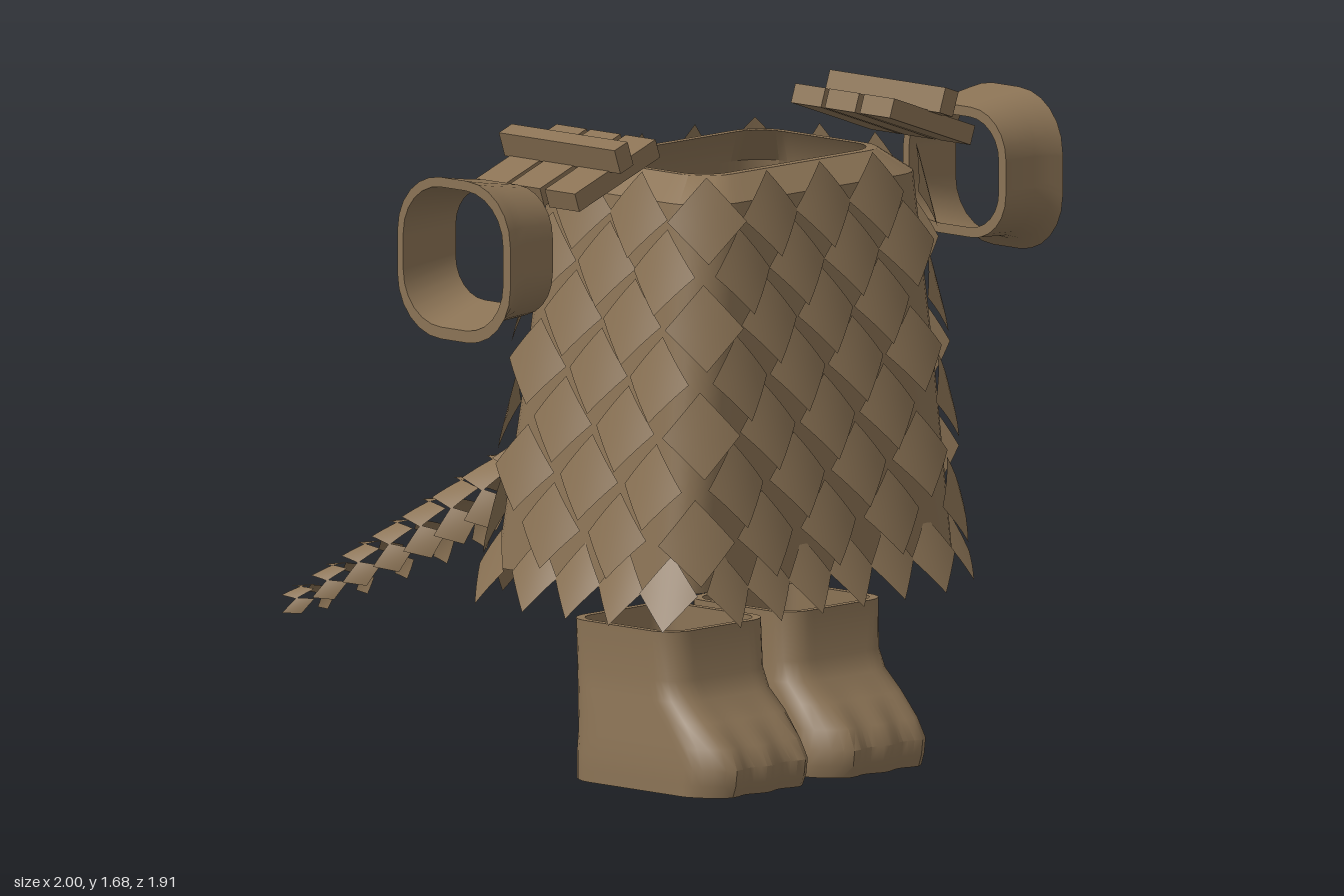
import * as THREE from 'three';
import { mergeGeometries, toCreasedNormals } from 'three/addons/utils/BufferGeometryUtils.js';

const hide = new THREE.MeshStandardMaterial({ color: 0x8b7355, side: THREE.DoubleSide });
hide.name = 'brown hide';

function mesh(name, geometry) {
  const m = new THREE.Mesh(geometry, hide);
  m.name = name;
  return m;
}

// Rounded rectangle outline in the xz plane, starting on the front edge and going towards +x
function outline([y, x0, x1, z0, z1, r]) {
  const corners = [[x1 - r, z1 - r], [x1 - r, z0 + r], [x0 + r, z0 + r], [x0 + r, z1 - r]];
  const at = (k, a) => {
    const [cx, cz] = corners[k % 4];
    return new THREE.Vector3(cx + r * Math.sin(a), y, cz + r * Math.cos(a));
  };
  const points = [];
  for (let k = 0; k < 4; k++) {
    for (let m = 0; m <= 6; m++) points.push(at(k, (k + m / 6) * Math.PI / 2));
    const end = at(k, (k + 1) * Math.PI / 2), next = at(k + 1, (k + 1) * Math.PI / 2);
    for (let m = 1; m < 12; m++) points.push(end.clone().lerp(next, m / 12));
  }
  return points;
}

// Walled tube: sections run up the outside and down the inside, then close
function shell(sections, rule = () => {}) {
  const rings = sections.map(outline);
  const n = rings[0].length, index = [];
  const points = rings.flat();
  points.forEach(rule);
  for (let i = 0; i < rings.length; i++) {
    const u = i * n, v = ((i + 1) % rings.length) * n;
    for (let j = 0; j < n; j++) {
      const k = (j + 1) % n;
      index.push(u + j, u + k, v + k, u + j, v + k, v + j);
    }
  }
  const geometry = new THREE.BufferGeometry().setFromPoints(points);
  geometry.setIndex(index);
  return toCreasedNormals(geometry, 0.6);
}

// Thin diamond scale, bent across its width
function scaleGeometry(width, height, bend) {
  const g = new THREE.PlaneGeometry(1, 1, 4, 4).rotateZ(Math.PI / 4);
  g.scale(width / Math.SQRT2, height / Math.SQRT2, 1);
  const p = g.attributes.position;
  for (let i = 0; i < p.count; i++) p.setZ(i, -bend * p.getX(i) ** 2);
  g.computeVertexNormals();
  return g;
}

// Places a scale at a point; tilt swings its lower end outward
function placeScale(geometry, position, across, along, outward, tilt) {
  const m = new THREE.Matrix4().makeBasis(across, along, outward).setPosition(position);
  m.multiply(new THREE.Matrix4().makeRotationX(-tilt));
  return geometry.clone().applyMatrix4(m);
}

const torsoOuter = [
  [0.53, -0.51, 0.51, 0.18, 0.87, 0.08],
  [1.0, -0.465, 0.465, 0.22, 0.865, 0.1],
  [1.5, -0.415, 0.415, 0.245, 0.85, 0.12],
];

function torsoSection(y) {
  const i = y < 1.0 ? 0 : 1;
  const a = torsoOuter[i], b = torsoOuter[i + 1];
  const t = (y - a[0]) / (b[0] - a[0]);
  return a.map((v, k) => THREE.MathUtils.lerp(v, b[k], t));
}

function torsoScaleRow(y, count, shift, width, height, tilt) {
  const section = torsoSection(y);
  const curve = new THREE.CatmullRomCurve3(outline(section), true);
  const start = (section[2] - section[5]) / curve.getLength();
  const up = new THREE.Vector3(0, 1, 0);
  const geometry = scaleGeometry(width, height, 1.5);
  const placed = [];
  for (let i = 0; i < count; i++) {
    const t = ((i + shift) / count - start + 1) % 1;
    const across = curve.getTangentAt(t).setY(0).normalize();
    const outward = across.clone().cross(up);
    const position = curve.getPointAt(t).addScaledVector(outward, 0.03);
    placed.push(placeScale(geometry, position, across, up, outward, tilt));
  }
  return mergeGeometries(placed);
}

function makeTorso() {
  const torso = new THREE.Group();
  torso.name = 'torso';
  torso.add(mesh('torsoShell', shell([
    ...torsoOuter,
    [1.56, -0.335, 0.335, 0.325, 0.785, 0.09],
    [1.56, -0.315, 0.315, 0.345, 0.76, 0.08],
    [1.47, -0.385, 0.385, 0.275, 0.82, 0.1],
    [0.53, -0.485, 0.485, 0.205, 0.845, 0.06],
  ])));
  for (let row = 0; row < 7; row++) {
    const y = 1.465 - row * 0.134;
    torso.add(mesh('torsoScales' + (row + 1), torsoScaleRow(y, 14, (row % 2) / 2, 0.2, 0.22, 0.25)));
  }
  torso.add(mesh('hemScales', torsoScaleRow(0.535, 22, 0.5, 0.155, 0.2, 0.38)));
  return torso;
}

// Arched bands of scales shrinking along the tail
function makeTail() {
  const tail = new THREE.Group();
  tail.name = 'tail';
  const along = new THREE.Vector3(0, 0.45, 0.89).normalize();
  const lift = new THREE.Vector3(0, 0.89, -0.45).normalize();
  for (let row = 0; row < 9; row++) {
    const t = row / 8;
    const radius = THREE.MathUtils.lerp(0.16, 0.05, t);
    const centre = new THREE.Vector3(0, 0.7 - 0.45 * t, 0.08 - 0.98 * t);
    const geometry = scaleGeometry(radius * 0.84, THREE.MathUtils.lerp(0.165, 0.1, t), 0.3 / radius);
    const placed = [];
    for (let i = -2; i <= 2; i++) {
      const a = i * Math.PI / 4;
      const outward = lift.clone().multiplyScalar(Math.cos(a));
      outward.x = Math.sin(a);
      const across = along.clone().cross(outward);
      const position = centre.clone().addScaledVector(outward, radius);
      placed.push(placeScale(geometry, position, across, along, outward, 0.3));
    }
    tail.add(mesh('tailScales' + (row + 1), mergeGeometries(placed)));
  }
  return tail;
}

// Open foot cover with a bulging toe end
function makeFoot() {
  const toes = (p) => {
    if (p.y < 0.15 && p.z > 0.78) p.z += 0.008 * Math.cos((p.x - 0.215) * 50) - 0.004;
  };
  return mesh('foot', shell([
    [0, 0.02, 0.41, 0.35, 0.875, 0.1],
    [0.03, 0.015, 0.41, 0.35, 0.885, 0.1],
    [0.07, 0.015, 0.41, 0.35, 0.89, 0.1],
    [0.12, 0.02, 0.405, 0.35, 0.865, 0.1],
    [0.18, 0.02, 0.4, 0.35, 0.805, 0.09],
    [0.23, 0.025, 0.395, 0.35, 0.75, 0.08],
    [0.28, 0.03, 0.39, 0.35, 0.727, 0.07],
    [0.405, 0.03, 0.395, 0.35, 0.72, 0.07],
    [0.405, 0.05, 0.375, 0.37, 0.7, 0.055],
    [0.25, 0.05, 0.375, 0.37, 0.71, 0.055],
    [0.1, 0.05, 0.38, 0.375, 0.85, 0.075],
    [0, 0.05, 0.38, 0.38, 0.845, 0.075],
  ], toes));
}

// Wrist cuff, lofted upright and laid along x
function makeCuff() {
  const geometry = shell([
    [0.82, -1.58, -1.25, 0.36, 0.715, 0.12],
    [0.92, -1.595, -1.243, 0.355, 0.72, 0.13],
    [0.965, -1.603, -1.23, 0.35, 0.73, 0.14],
    [1.0, -1.61, -1.2, 0.35, 0.74, 0.15],
    [1.0, -1.585, -1.23, 0.37, 0.715, 0.13],
    [0.82, -1.555, -1.275, 0.38, 0.69, 0.1],
  ]);
  return mesh('wristCuff', geometry.rotateZ(-Math.PI / 2));
}

// Three planks joined by a crossbar, sloping outward
function makeShoulderGuard() {
  const guard = new THREE.Group();
  guard.name = 'shoulderGuard';
  for (const z of [0.41, 0.527, 0.648]) {
    const plank = mesh('shoulderPlank', new THREE.BoxGeometry(0.31, 0.05, 0.104));
    plank.position.z = z;
    guard.add(plank);
  }
  const bar = mesh('shoulderCrossbar', new THREE.BoxGeometry(0.05, 0.065, 0.4));
  bar.position.set(0, 0.055, 0.54);
  guard.add(bar);
  guard.position.set(0.57, 1.585, 0);
  guard.rotation.z = -0.34;
  return guard;
}

export function createModel() {
  const model = new THREE.Group();
  model.name = 'scaledCostume';
  model.add(makeTorso(), makeTail());
  for (const side of [1, -1]) {
    const limbs = new THREE.Group();
    limbs.name = side > 0 ? 'leftLimbParts' : 'rightLimbParts';
    limbs.add(makeFoot(), makeCuff(), makeShoulderGuard());
    limbs.scale.x = side;
    model.add(limbs);
  }
  return model;
}
